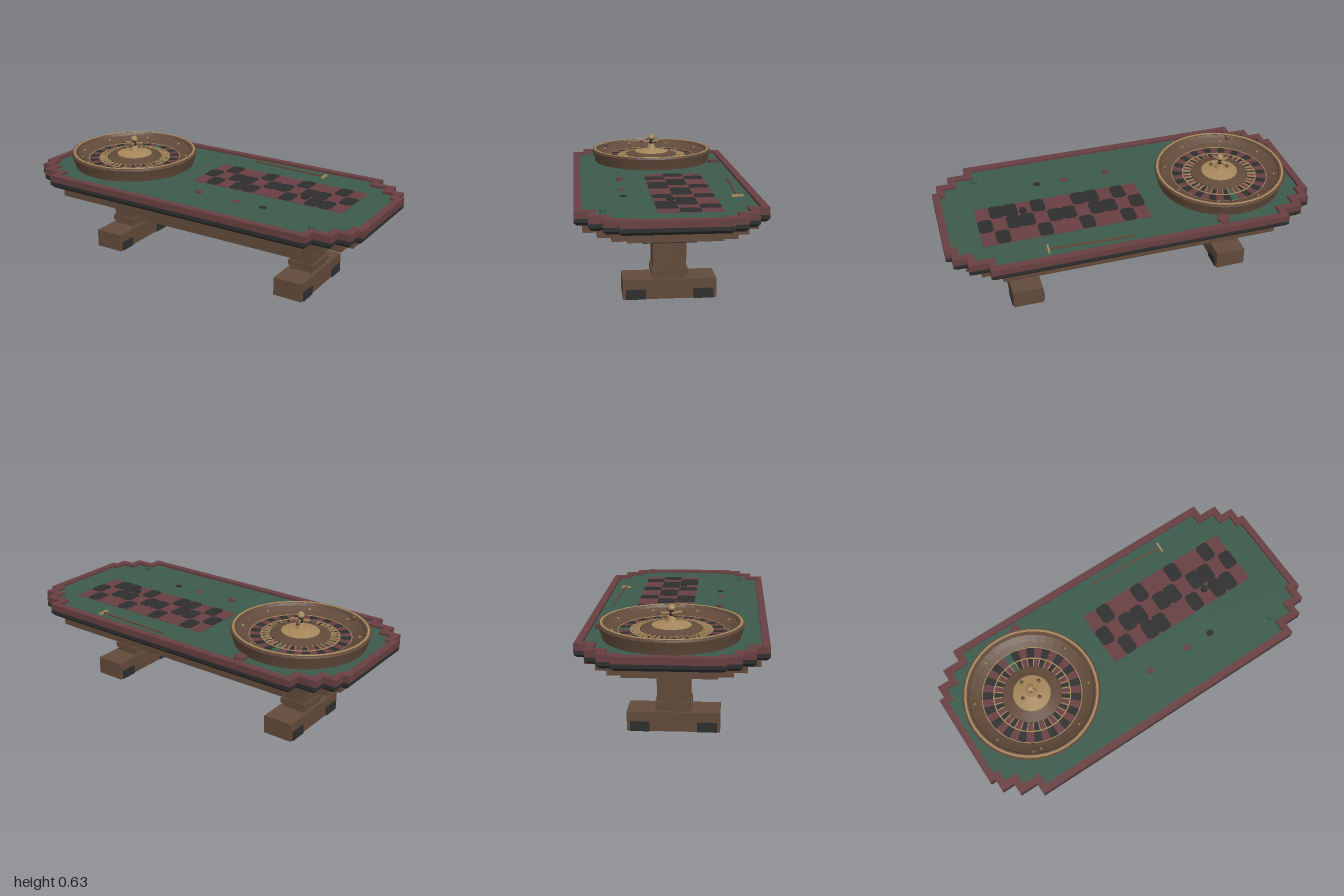
import * as THREE from 'three';

const mat = (name, color) => {
  const m = new THREE.MeshStandardMaterial({ color });
  m.name = name;
  return m;
};

export function createModel() {
  const wood = mat('wood', 0x614a3a);
  const burgundy = mat('burgundy', 0x673f41);
  const black = mat('black', 0x2e2e2e);
  const felt = mat('felt green', 0x3b5a4c);
  const gold = mat('gold', 0xa5875a);
  const model = new THREE.Group();
  model.name = 'rouletteTable';

  const add = (parent, name, geo, material, x = 0, y = 0, z = 0) => {
    const mesh = new THREE.Mesh(geo, material);
    mesh.name = name;
    mesh.position.set(x, y, z);
    parent.add(mesh);
    return mesh;
  };
  const box = (parent, name, m, w, h, d, x, y, z) =>
    add(parent, name, new THREE.BoxGeometry(w, h, d), m, x, y, z);
  const faceted = (geo) => {
    const g = geo.index ? geo.toNonIndexed() : geo;
    g.computeVertexNormals();
    return g;
  };
  const lathe = (pts, sides) =>
    faceted(new THREE.LatheGeometry(pts.map((p) => new THREE.Vector2(...p)), sides));

  // Stepped-corner outline, inset from the table edge
  const corner = [[1, 0.265], [0.97, 0.265], [0.97, 0.335], [0.9, 0.335], [0.9, 0.4], [0.8, 0.4], [0.8, 0.467]];
  const outline = (dx, dz = dx) => {
    const q = corner.map(([x, z]) => [x - dx, z - dz]);
    const r = [...q].reverse();
    return [
      ...q, ...r.map(([x, z]) => [-x, z]),
      ...q.map(([x, z]) => [-x, -z]), ...r.map(([x, z]) => [x, -z]),
    ].map((p) => new THREE.Vector2(...p));
  };
  const slab = (pts, y0, y1, hole) => {
    const shape = new THREE.Shape(pts);
    if (hole) shape.holes.push(new THREE.Path(hole));
    const g = new THREE.ExtrudeGeometry(shape, { depth: y1 - y0, bevelEnabled: false });
    return g.rotateX(-Math.PI / 2).translate(0, y0, 0);
  };

  // Table top
  add(model, 'underFrame', slab(outline(0.063, 0.04), 0.365, 0.413), wood);
  const bevel = slab(outline(0), 0.413, 0.43);
  const bp = bevel.attributes.position;
  for (let i = 0; i < bp.count; i++) {
    if (bp.getY(i) < 0.42) {
      bp.setX(i, bp.getX(i) - Math.sign(bp.getX(i)) * 0.018);
      bp.setZ(i, bp.getZ(i) - Math.sign(bp.getZ(i)) * 0.015);
    }
  }
  add(model, 'lowerBumper', faceted(bevel), black);
  add(model, 'bumper', slab(outline(0), 0.43, 0.449), black);
  add(model, 'rail', slab(outline(0), 0.449, 0.485, outline(0.037)), burgundy);
  add(model, 'playingSurface', slab(outline(0.037), 0.449, 0.47), felt);

  // Pedestal legs
  for (const side of [-1, 1]) {
    const leg = new THREE.Group();
    leg.name = side < 0 ? 'rightLeg' : 'leftLeg';
    leg.position.x = side * 0.59;
    model.add(leg);
    box(leg, 'foot', wood, 0.166, 0.1, 0.466, 0, 0.05, 0);
    for (const s of [-1, 1]) box(leg, 'footPad', black, 0.18, 0.05, 0.098, 0, 0.0255, s * 0.168);
    box(leg, 'column', wood, 0.13, 0.19, 0.166, 0, 0.193, 0);
    box(leg, 'collar', wood, 0.15, 0.03, 0.182, 0, 0.135, 0);
    box(leg, 'capital', black, 0.164, 0.05, 0.266, 0, 0.31, 0);
    box(leg, 'topPlate', wood, 0.198, 0.031, 0.366, 0, 0.35, 0);
  }
  box(model, 'stretcher', wood, 1.08, 0.064, 0.07, 0, 0.165, 0);

  // Betting grid with clipped-corner black cells
  const gx = -0.1, gz = -0.25, cw = 0.0752, ch = 0.107;
  box(model, 'bettingGrid', burgundy, 12 * cw, 0.003, 3 * ch, gx + 6 * cw, 0.4715, gz + 1.5 * ch);
  const w = cw / 2, h = ch / 2 - 0.001, c = 0.014;
  const cell = slab([[w, h - c], [w - c, h], [c - w, h], [-w, h - c], [-w, c - h], [c - w, -h], [w - c, -h], [w, c - h]]
    .map((p) => new THREE.Vector2(...p)), 0, 0.003);
  [[1, 4, 7, 10], [0, 2, 3, 5, 6, 8, 9, 11], [1, 3, 4, 7, 9, 10]].forEach((cols, row) =>
    cols.forEach((col) =>
      add(model, 'blackCell', cell, black, gx + (col + 0.5) * cw, 0.473, gz + (row + 0.5) * ch)));

  // Loose chips, markers and rake
  const disc = (name, m, r, t, x, z, n = 12) =>
    add(model, name, faceted(new THREE.CylinderGeometry(r, r, t, n)), m, x, 0.47 + t / 2, z);
  disc('redChip', burgundy, 0.017, 0.014, 0.03, 0.216);
  disc('blackChip', black, 0.019, 0.018, 0.55, -0.013);
  disc('greenChip', felt, 0.017, 0.016, 0.76, 0.33);
  disc('largeChip', burgundy, 0.033, 0.017, -0.455, -0.382);
  disc('redMarker', burgundy, 0.02, 0.003, 0.27, 0.216, 4).scale.x = 1.5;
  disc('blackMarker', black, 0.018, 0.003, 0.425, 0.216, 8).scale.x = 1.2;
  const rake = new THREE.Group();
  rake.name = 'rake';
  rake.position.set(0.265, 0.476, -0.374);
  rake.rotation.y = -0.045;
  model.add(rake);
  box(rake, 'rakeHandle', wood, 0.45, 0.008, 0.009, 0, 0, 0);
  box(rake, 'rakeHead', gold, 0.01, 0.012, 0.06, 0.225, 0, 0);

  // Wheel bowl
  const wheel = new THREE.Group();
  wheel.name = 'wheel';
  wheel.position.set(-0.572, 0, -0.014);
  model.add(wheel);
  add(wheel, 'bowl', lathe([[0.345, 0.47], [0.35, 0.49], [0.364, 0.535], [0.36, 0.546], [0.335, 0.546],
    [0.327, 0.533], [0.295, 0.516], [0.268, 0.506], [0.266, 0.495]], 40), wood);
  add(wheel, 'rimBand', lathe([[0.354, 0.546], [0.353, 0.548], [0.343, 0.548], [0.342, 0.546]], 40), gold);

  // Pockets and dividers
  const count = 37, step = (Math.PI * 2) / count;
  for (let i = 0; i < count; i++) {
    const a = Math.PI / 2 + i * step;
    const m = i === 0 ? felt : i % 2 ? burgundy : black;
    const sector = new THREE.RingGeometry(0.15, 0.268, 2, 1, a - step / 2, step).rotateX(-Math.PI / 2);
    add(wheel, 'pocket', sector, m, 0, 0.501, 0);
    const b = a + step / 2;
    const fret = box(wheel, 'pocketDivider', gold, 0.045, 0.01, 0.004,
      Math.cos(b) * 0.18, 0.505, -Math.sin(b) * 0.18);
    fret.rotation.y = b;
  }
  const band = (r) => lathe([[r + 0.003, 0.5], [r + 0.003, 0.504], [r - 0.003, 0.504], [r - 0.003, 0.5]], 40);
  add(wheel, 'outerPocketBand', band(0.266), gold);
  add(wheel, 'innerPocketBand', band(0.204), gold);

  // Deflectors and ball
  for (let i = 0; i < 8; i++) {
    const a = (i + 0.5) * Math.PI / 4;
    add(wheel, 'deflector', faceted(new THREE.OctahedronGeometry(0.008)), gold,
      Math.cos(a) * 0.305, 0.523, Math.sin(a) * 0.305);
  }
  add(wheel, 'ball', faceted(new THREE.SphereGeometry(0.014, 10, 8)), wood, -0.158, 0.543, 0.276);

  // Central cone and turret
  add(wheel, 'cone', lathe([[0.158, 0.498], [0.155, 0.51], [0.1, 0.524]], 32), wood);
  add(wheel, 'hub', lathe([[0.102, 0.52], [0.1, 0.527], [0.06, 0.535], [0.028, 0.542],
    [0.025, 0.55], [0.018, 0.572], [0, 0.572]], 20), gold);
  add(wheel, 'spindle', faceted(new THREE.CylinderGeometry(0.013, 0.013, 0.035, 12)), black, 0, 0.588, 0);
  add(wheel, 'finial', lathe([[0, 0.6], [0.018, 0.603], [0.02, 0.612], [0.014, 0.624], [0.006, 0.63], [0, 0.63]], 12), gold);
  for (let i = 0; i < 4; i++) {
    const a = i * Math.PI / 2 + 0.3;
    const arm = new THREE.Group();
    arm.name = 'turretArm';
    arm.position.y = 0.588;
    arm.rotation.y = a;
    wheel.add(arm);
    box(arm, 'handle', gold, 0.056, 0.008, 0.009, 0.03, 0, 0);
    const knob = add(arm, 'knob', faceted(new THREE.SphereGeometry(0.011, 8, 6)), wood, 0.062, 0, 0);
    knob.scale.y = 0.75;
  }
  return model;
}
